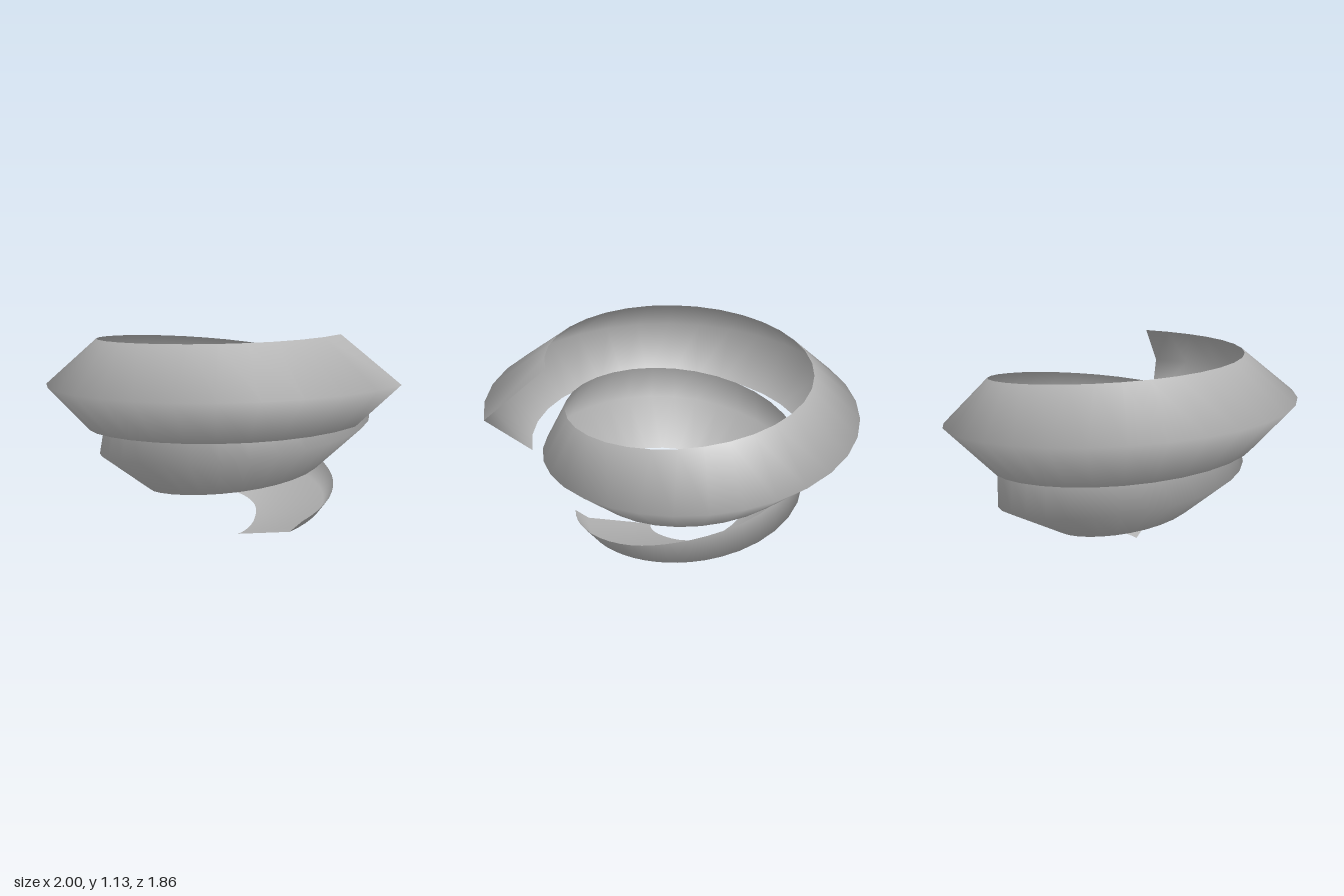
import * as THREE from 'three';

// Each long edge of the ribbon is a spiral given by keys of [angle in degrees, radius, height]
const LOWER_EDGE = [
  [-32, 0.214, 0], [29, 0.185, 0.05], [90, 0.24, 0.1], [180, 0.35, 0.18], [270, 0.47, 0.28],
  [360, 0.54, 0.37], [450, 0.6, 0.46], [540, 0.7, 0.55], [630, 0.79, 0.63], [718, 0.84, 0.67],
];
const RIDGE = [
  [-16, 0.56, 0.09], [37, 0.57, 0.17], [90, 0.59, 0.24], [180, 0.655, 0.375], [270, 0.725, 0.5],
  [360, 0.79, 0.61], [450, 0.86, 0.71], [540, 0.93, 0.8], [630, 1.0, 0.865], [720, 1.07, 0.9],
];
const UPPER_EDGE = [
  [-14, 0.63, 0.16], [38, 0.62, 0.28], [90, 0.6, 0.41], [180, 0.63, 0.575], [270, 0.666, 0.725],
  [360, 0.65, 0.84], [450, 0.635, 0.95], [540, 0.665, 1.04], [630, 0.72, 1.1], [718.5, 0.74, 1.13],
];
const AXIS_X = -0.07;
const AXIS_Z = -0.07;
const STEPS = 72;

// Smooth spiral through the keys, as points in space
function spiral(keys) {
  const curve = new THREE.CatmullRomCurve3(
    keys.map((k) => new THREE.Vector3(THREE.MathUtils.degToRad(k[0]), k[1], k[2])),
    false, 'catmullrom', 0.5,
  );
  return curve.getPoints(STEPS).map((p) => new THREE.Vector3(
    AXIS_X + p.y * Math.cos(p.x), p.z, AXIS_Z - p.y * Math.sin(p.x),
  ));
}

// Open surface joining neighbouring rails
function loft(rails) {
  const positions = [];
  const index = [];
  const n = rails.length;
  for (let i = 0; i <= STEPS; i++) {
    for (const rail of rails) positions.push(...rail[i].toArray());
  }
  for (let i = 0; i < STEPS; i++) {
    for (let j = 0; j < n - 1; j++) {
      const a = i * n + j;
      const b = a + n;
      index.push(a, b, a + 1, b, b + 1, a + 1);
    }
  }
  const geometry = new THREE.BufferGeometry();
  geometry.setAttribute('position', new THREE.Float32BufferAttribute(positions, 3));
  geometry.setIndex(index);
  geometry.computeVertexNormals();
  return geometry;
}

export function createModel() {
  const grey = new THREE.MeshStandardMaterial({ color: 0xb2b2b2, side: THREE.DoubleSide });
  grey.name = 'grey';

  // Folded ribbon winding up and outwards for two turns
  const ribbon = new THREE.Mesh(loft([LOWER_EDGE, RIDGE, UPPER_EDGE].map(spiral)), grey);
  ribbon.name = 'spiralRibbon';

  const model = new THREE.Group();
  model.name = 'spiralRibbonSculpture';
  model.add(ribbon);
  return model;
}
